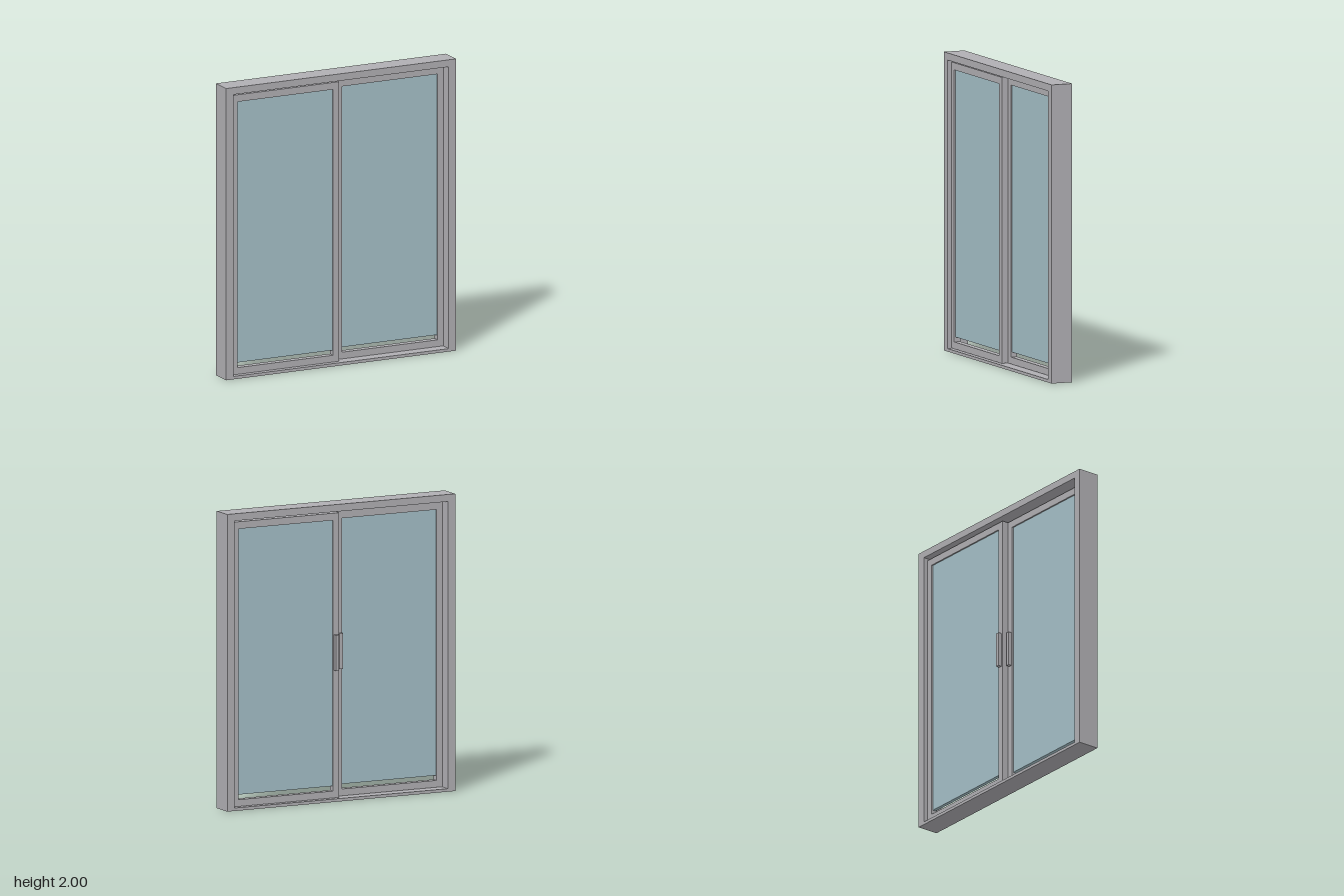
import * as THREE from 'three';

const metal = new THREE.MeshStandardMaterial({ color: 0xb0afb3 });
metal.name = 'grey aluminium';
const pane = new THREE.MeshStandardMaterial({ color: 0xa4bfc7 });
pane.name = 'pale blue glass';

// Box given by its minimum and maximum corners
function block(name, material, [x0, y0, z0], [x1, y1, z1]) {
  const mesh = new THREE.Mesh(new THREE.BoxGeometry(x1 - x0, y1 - y0, z1 - z0), material);
  mesh.position.set((x0 + x1) / 2, (y0 + y1) / 2, (z0 + z1) / 2);
  mesh.name = name;
  return mesh;
}

// Rectangular ring with unequal borders, extruded from z0 to z1
function ring(name, [x0, y0, x1, y1], [a0, b0, a1, b1], z0, z1) {
  const shape = new THREE.Shape([[x0, y0], [x1, y0], [x1, y1], [x0, y1]].map((p) => new THREE.Vector2(...p)));
  shape.holes.push(new THREE.Path([[a0, b0], [a0, b1], [a1, b1], [a1, b0]].map((p) => new THREE.Vector2(...p))));
  const geometry = new THREE.ExtrudeGeometry(shape, { depth: z1 - z0, bevelEnabled: false });
  geometry.translate(0, 0, z0);
  const mesh = new THREE.Mesh(geometry, metal);
  mesh.name = name;
  return mesh;
}

// Sliding door leaf: 0.8 wide, centred on x = 0 and z = 0
function slidingPanel(name, handleX) {
  const panel = new THREE.Group();
  panel.name = name;
  panel.add(ring('panelFrame', [-0.4, 0.022, 0.4, 1.938], [-0.355, 0.068, 0.355, 1.89], -0.0225, 0.0225));
  // The glass stops a little above the bottom rail
  panel.add(block('glass', pane, [-0.355, 0.1, -0.0125], [0.355, 1.89, 0.0125]));
  // Pull handle on the back of the meeting stile
  panel.add(block('handle', metal, [handleX - 0.0125, 0.88, -0.0475], [handleX + 0.0125, 1.12, -0.0225]));
  return panel;
}

export function createModel() {
  const model = new THREE.Group();
  model.name = 'slidingDoor';

  // Outer frame with a low sill
  model.add(ring('outerFrame', [-0.855, 0, 0.855, 2], [-0.8, 0.02, 0.8, 1.952], -0.075, 0.075));

  // The two leaves run on parallel tracks
  for (const side of [-1, 1]) {
    const panel = slidingPanel(side < 0 ? 'frontPanel' : 'backPanel', -side * 0.374);
    panel.position.set(side * 0.4, 0, -side * 0.0225);
    model.add(panel);
  }
  return model;
}
